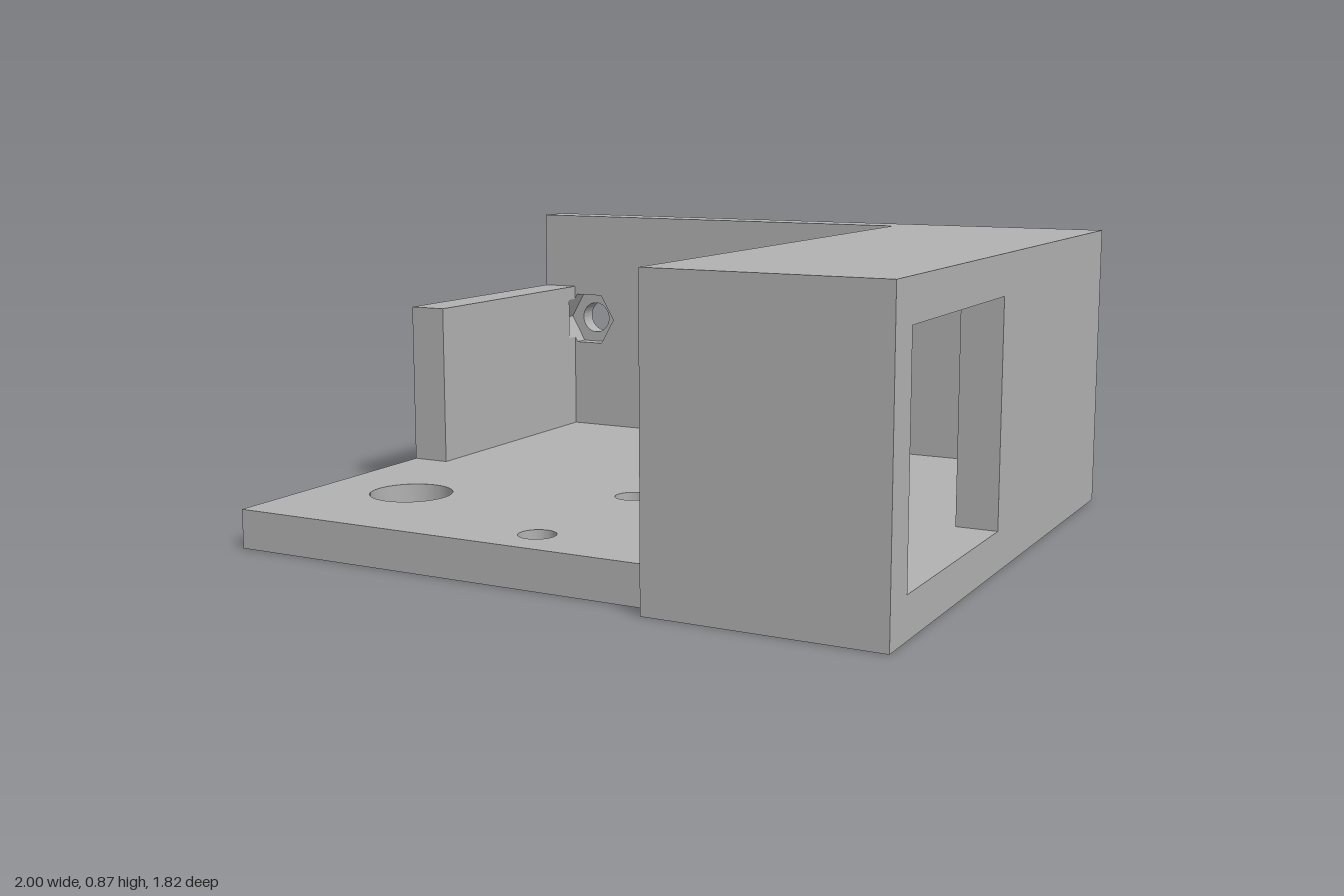
import * as THREE from 'three';
import { toCreasedNormals } from 'three/addons/utils/BufferGeometryUtils.js';

const grey = new THREE.MeshStandardMaterial({ color: 0xb2b2b2 });
grey.name = 'grey plastic';

// Main dimensions
const T = 0.115, H = 0.87, BACK = -0.91, FRONT = 0.91;
const INNER_BACK = -0.8, INNER_FRONT = 0.8, INNER_RIGHT = 0.88, BLOCK = 0.34;
const POCKET_FLOOR = -0.85, POCKET_END = -0.76;
const SCREW_X = 0.82, SCREW_Y = 0.5, HEX_R = 0.1, HOLE_R = 0.053;

const shapeOf = (pts) => new THREE.Shape(pts.map(([x, y]) => new THREE.Vector2(x, y)));
const rect = (x0, y0, x1, y1) => [[x0, y0], [x1, y0], [x1, y1], [x0, y1]];
const circle = (x, y, r) => new THREE.Path().absarc(x, y, r, 0, Math.PI * 2, true);

function hexagon(cx) {
  const pts = [];
  for (let i = 0; i < 6; i++) {
    const a = -i * Math.PI / 3;
    pts.push(new THREE.Vector2(cx + HEX_R * Math.cos(a), SCREW_Y + HEX_R * Math.sin(a)));
  }
  return new THREE.Path(pts);
}

function solid(shape, depth) {
  return new THREE.ExtrudeGeometry(shape, { depth, bevelEnabled: false, curveSegments: 40 });
}

export function createModel() {
  const group = new THREE.Group();
  const add = (name, geometry) => {
    const mesh = new THREE.Mesh(toCreasedNormals(geometry, 0.5), grey);
    mesh.name = name;
    group.add(mesh);
  };
  const box = (name, x0, x1, y0, y1, z0, z1) => add(name,
    new THREE.BoxGeometry(x1 - x0, y1 - y0, z1 - z0)
      .translate((x0 + x1) / 2, (y0 + y1) / 2, (z0 + z1) / 2));

  // Base plate, stepped at the front, with mounting holes
  const base = shapeOf([[-1, -0.845], [BLOCK, -0.845], [BLOCK, -FRONT], [1, -FRONT], [1, -BACK], [-1, -BACK]]);
  base.holes.push(circle(-0.09, -0.18, HOLE_R), circle(-0.09, -0.705, HOLE_R), circle(-0.7, -0.445, 0.123));
  add('basePlate', solid(base, T).rotateX(-Math.PI / 2));

  // Back wall in two layers: round screw holes behind hexagonal nut pockets
  const outer = shapeOf(rect(-1, T, 1, H));
  const inner = shapeOf(rect(-1, T, 1, H));
  for (const s of [-1, 1]) {
    outer.holes.push(circle(s * SCREW_X, SCREW_Y, HOLE_R));
    inner.holes.push(hexagon(s * SCREW_X));
  }
  add('backWallOuter', solid(outer, POCKET_FLOOR - BACK).translate(0, 0, BACK));
  add('backWallPockets', solid(inner, INNER_BACK - POCKET_FLOOR).translate(0, 0, POCKET_FLOOR));

  // Side wall ends, notched where the nut pockets run into them
  const notchedEnd = (name, s, top) => {
    const h = HEX_R * Math.sqrt(3) / 2;
    const tip = SCREW_X + HEX_R;
    const half = h * (tip - INNER_RIGHT) / (HEX_R / 2);
    const pts = [[INNER_RIGHT, T], [1, T], [1, top], [INNER_RIGHT, top],
      [INNER_RIGHT, SCREW_Y + half], [tip, SCREW_Y], [INNER_RIGHT, SCREW_Y - half]];
    add(name, solid(shapeOf(pts.map(([x, y]) => [s * x, y])), POCKET_END - INNER_BACK)
      .translate(0, 0, INNER_BACK));
  };
  notchedEnd('lowWallEnd', -1, 0.615);
  notchedEnd('windowWallEnd', 1, 0.755);

  // Low wall on the open side
  box('lowWall', -1, -INNER_RIGHT, T, 0.615, POCKET_END, 0.015);

  // Housing: side wall with a square window, front wall and roof
  const side = shapeOf([[POCKET_END, T], [0.1, T], [0.1, 0.755], [POCKET_END, 0.755]]);
  add('windowWall', solid(side, 1 - INNER_RIGHT).rotateY(-Math.PI / 2).translate(1, 0, 0));
  box('housingFront', BLOCK, 1, T, H, INNER_FRONT, FRONT);
  box('housingRoof', BLOCK, 1, 0.755, H, INNER_BACK, INNER_FRONT);

  return group;
}
